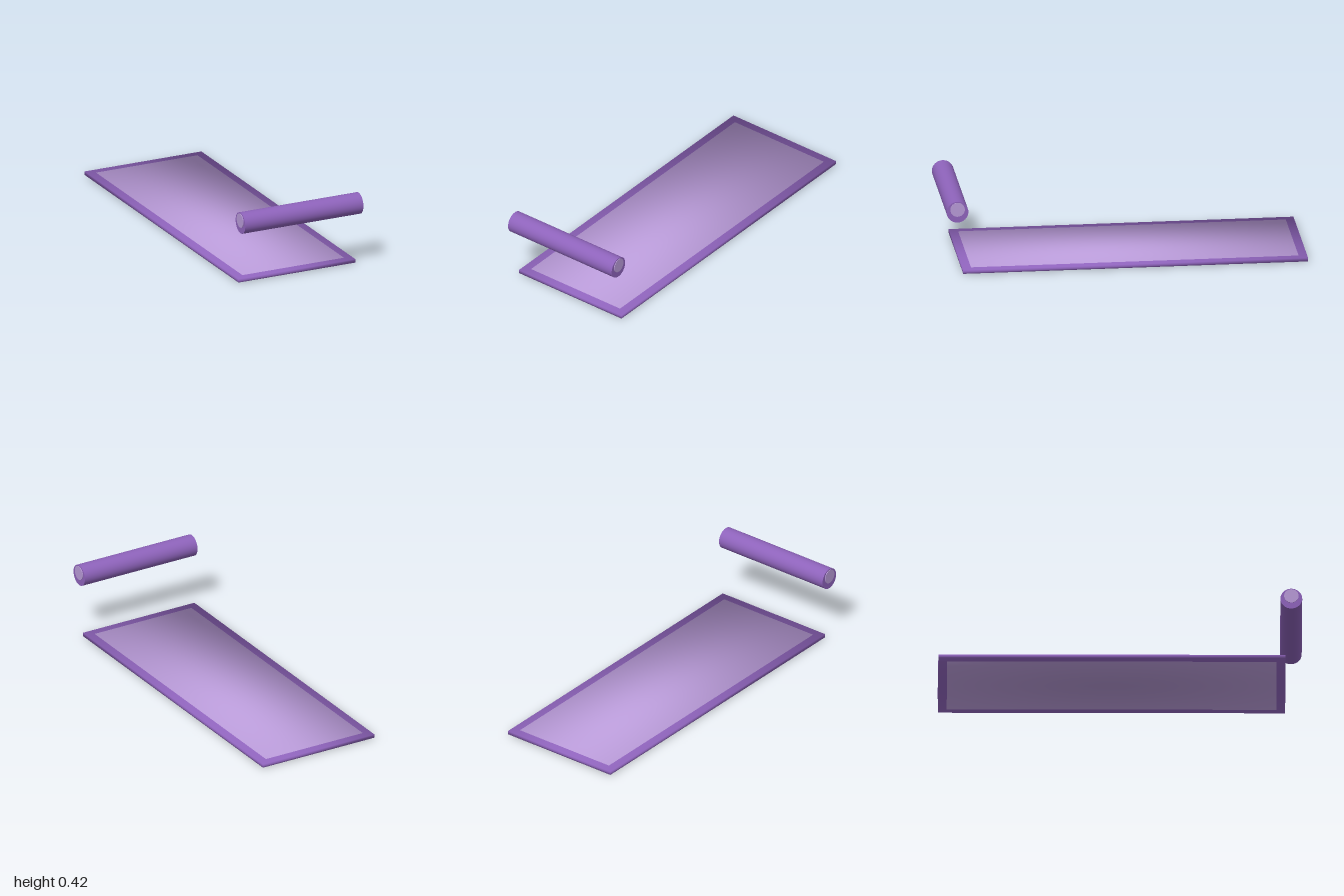
import * as THREE from 'three';

const violet = new THREE.MeshStandardMaterial({ color: 0x8e63bb });
const lilac = new THREE.MeshStandardMaterial({ color: 0xb799d6 });

// Thin slab with slightly swollen faces and pillow-like smooth normals.
function pillow(name, material, half, swell) {
  const geometry = new THREE.BoxGeometry(2, 2, 2, 12, 2, 24);
  const pos = geometry.attributes.position;
  const normal = geometry.attributes.normal;
  const p = new THREE.Vector3();
  const arch = (a, b) => (1 - a * a) * (1 - b * b);
  for (let i = 0; i < pos.count; i++) {
    p.fromBufferAttribute(pos, i);
    const { x, y, z } = p;
    pos.setXYZ(i,
      x * (half.x + swell.x * arch(y, z)),
      y * (half.y + swell.y * arch(x, z)),
      z * (half.z + swell.z * arch(x, y)));
    p.normalize();
    normal.setXYZ(i, p.x, p.y, p.z);
  }
  const mesh = new THREE.Mesh(geometry, material);
  mesh.name = name;
  return mesh;
}

// Cylinder lying along x.
function bar(name, material, radius, length, x, y, z) {
  const geometry = new THREE.CylinderGeometry(radius, radius, length, 48);
  geometry.rotateZ(Math.PI / 2);
  const mesh = new THREE.Mesh(geometry, material);
  mesh.name = name;
  mesh.position.set(x, y, z);
  return mesh;
}

export function createModel() {
  const model = new THREE.Group();
  model.name = 'matAndBolster';

  // Flat mat: violet border with a lilac panel showing on both faces
  const mat = new THREE.Group();
  mat.name = 'mat';
  mat.position.set(0, 0.0145, -0.045);
  mat.add(
    pillow('matBorder', violet, new THREE.Vector3(0.358, 0.01, 0.953), new THREE.Vector3(0.003, 0, 0.002)),
    pillow('matPanel', lilac, new THREE.Vector3(0.31, 0.0115, 0.905), new THREE.Vector3(0, 0.003, 0)),
  );
  model.add(mat);

  // Roll floating above the front edge, with a raised disc at each end
  const roll = new THREE.Group();
  roll.name = 'roll';
  roll.position.set(0, 0.364, 0.94);
  roll.add(bar('rollBody', violet, 0.06, 0.724, 0, 0, 0));
  for (const side of [1, -1]) {
    roll.add(bar(side > 0 ? 'leftEndDisc' : 'rightEndDisc', lilac, 0.04, 0.01, side * 0.361, 0.015, 0));
  }
  model.add(roll);

  return model;
}
